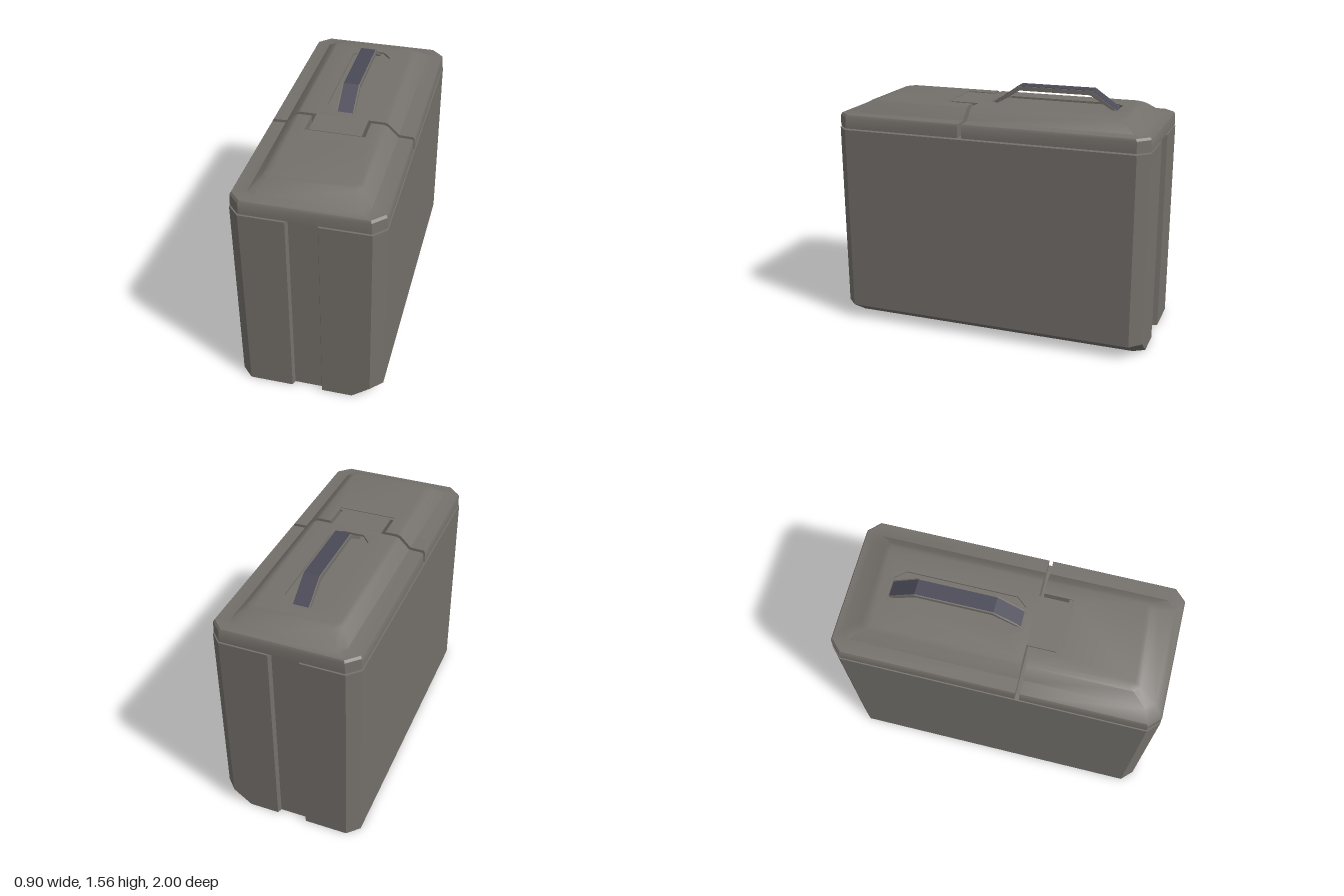
import * as THREE from 'three';
import { toCreasedNormals } from 'three/addons/utils/BufferGeometryUtils.js';

const metal = new THREE.MeshStandardMaterial({ name: 'warm grey metal', color: 0x74706b });
const grip = new THREE.MeshStandardMaterial({ name: 'blue grey grip', color: 0x4a4957 });

// Skin stacked rings of [x, z] points (counter-clockwise from above) and cap both ends.
// `hole` is an optional opening in the top cap.
function loft(rings, heights, hole) {
  const pos = [];
  const put = (p, y) => pos.push(p[0], y, p[1]);
  const n = rings[0].length;
  for (let r = 0; r < rings.length - 1; r++) {
    for (let i = 0; i < n; i++) {
      const j = (i + 1) % n;
      const a = rings[r][i], b = rings[r][j], c = rings[r + 1][j], d = rings[r + 1][i];
      const y0 = heights[r], y1 = heights[r + 1];
      put(a, y0); put(b, y0); put(c, y1);
      put(a, y0); put(c, y1); put(d, y1);
    }
  }
  const cap = (ring, y, up, opening) => {
    const flat = (list) => list.map(([x, z]) => new THREE.Vector2(x, -z));
    const all = opening ? [...ring, ...opening] : ring;
    const faces = THREE.ShapeUtils.triangulateShape(flat(ring), opening ? [flat(opening)] : []);
    for (const [a, b, c] of faces) {
      for (const k of up ? [a, b, c] : [a, c, b]) put(all[k], y);
    }
  };
  cap(rings[0], heights[0], false);
  cap(rings[rings.length - 1], heights[heights.length - 1], true, hole);
  const g = new THREE.BufferGeometry();
  g.setAttribute('position', new THREE.Float32BufferAttribute(pos, 3));
  return toCreasedNormals(g, 0.6);
}

function add(parent, name, geometry, material) {
  const mesh = new THREE.Mesh(geometry, material);
  mesh.name = name;
  parent.add(mesh);
  return mesh;
}

// Chamfered body outline with a shallow vertical groove in the front and the back
function bodyRing(cut) {
  const w = 0.45, c = 0.07, d = 0.03;
  return [
    [-w + c, 1], [-0.11, 1], [-0.1, 1 - d], [0.07, 1 - d], [0.08, 1], [w - c - cut * 0.8, 1],
    [w - cut, 1 - c], [w - cut, -1 + c],
    [w - c - cut * 0.8, -1], [0.08, -1], [0.07, -1 + d], [-0.1, -1 + d], [-0.11, -1], [-w + c, -1],
    [-w, -1 + c], [-w, 1 - c],
  ];
}

// Lid section rows: half width, end z, corner chamfer, height
const lidRows = [
  [0.445, 0.998, 0.07, 1.292], [0.443, 0.996, 0.07, 1.362], [0.435, 0.988, 0.07, 1.376],
  [0.35, 0.94, 0.05, 1.379], [0.285, 0.835, 0.035, 1.444], [0.262, 0.8, 0.03, 1.453],
];
const lidHeights = lidRows.map((r) => r[3]);

const frontRing = ([w, e, c]) => [
  [-w + c, e], [w - c, e], [w, e - c], [w, 0.168],
  [0.183, 0.168], [0.183, 0.345], [-0.183, 0.345], [-0.183, 0.168],
  [-w, 0.168], [-w, e - c],
];
const rearRing = ([w, e, c]) => [
  [w - c, -e], [-w + c, -e], [-w, -e + c], [-w, 0.142], [w, 0.142], [w, -e + c],
];

// Side-on outline of the handle strap, as [-z, y], between two offsets from its outer face
function strap(name, halfWidth, inner, outer) {
  const path = (o) => [
    [-0.08 - o, 1.44], [0.083 - o * 0.3, 1.555 + o], [0.555 + o * 0.3, 1.555 + o], [0.722 + o, 1.44],
  ];
  const points = [...path(outer), ...path(inner).reverse()].map(([u, y]) => new THREE.Vector2(u, y));
  const g = new THREE.ExtrudeGeometry(new THREE.Shape(points), {
    depth: halfWidth * 2, bevelEnabled: false,
  });
  g.translate(0, 0, -halfWidth).rotateY(Math.PI / 2);
  return g;
}

export function createModel() {
  const model = new THREE.Group();
  model.name = 'lidded case';

  // Tall case with one long lower edge bevelled away
  add(model, 'body', loft([bodyRing(0.14), bodyRing(0), bodyRing(0)], [0, 0.09, 1.283]), metal);

  // Front lid, notched for the tab
  add(model, 'frontLid', loft(lidRows.map(frontRing), lidHeights), metal);

  // Rear lid with an eight-sided recess beneath the handle
  const recess = [
    [-0.07, 0.085], [0.07, 0.085], [0.125, 0.02], [0.125, -0.66],
    [0.07, -0.725], [-0.07, -0.725], [-0.125, -0.66], [-0.125, 0.02],
  ];
  const rear = new THREE.Group();
  rear.name = 'rearLid';
  model.add(rear);
  add(rear, 'rearLidShell', loft(lidRows.map(rearRing), lidHeights, recess), metal);

  // Recess walls face inward, so the ring runs the other way; its floor is a flat shape
  const wall = [];
  recess.forEach(([x, z], i) => {
    const [u, v] = recess[(i + 1) % recess.length];
    const t = 1.453, b = 1.441;
    wall.push(x, b, z, u, t, v, u, b, v, x, b, z, x, t, z, u, t, v);
  });
  const wallGeometry = new THREE.BufferGeometry();
  wallGeometry.setAttribute('position', new THREE.Float32BufferAttribute(wall, 3));
  wallGeometry.computeVertexNormals();
  add(rear, 'recessWall', wallGeometry, metal);
  const floor = new THREE.ShapeGeometry(
    new THREE.Shape(recess.map(([x, z]) => new THREE.Vector2(x, -z))));
  floor.rotateX(-Math.PI / 2).translate(0, 1.441, 0);
  add(rear, 'recessFloor', floor, metal);

  // Thin tab reaching into the notch of the front lid, with a small lip
  const tab = new THREE.BoxGeometry(0.32, 0.011, 0.18);
  add(rear, 'tab', tab, metal).position.set(0, 1.4475, 0.232);
  const lip = new THREE.BoxGeometry(0.364, 0.009, 0.022);
  add(rear, 'tabLip', lip, metal).position.set(0, 1.4455, 0.333);

  // Bent strap handle with a coloured grip on its outer face
  const handle = new THREE.Group();
  handle.name = 'handle';
  model.add(handle);
  add(handle, 'handleStrap', strap('strap', 0.056, -0.026, 0), metal);
  add(handle, 'handleGrip', strap('grip', 0.047, -0.002, 0.003), grip);

  return model;
}
